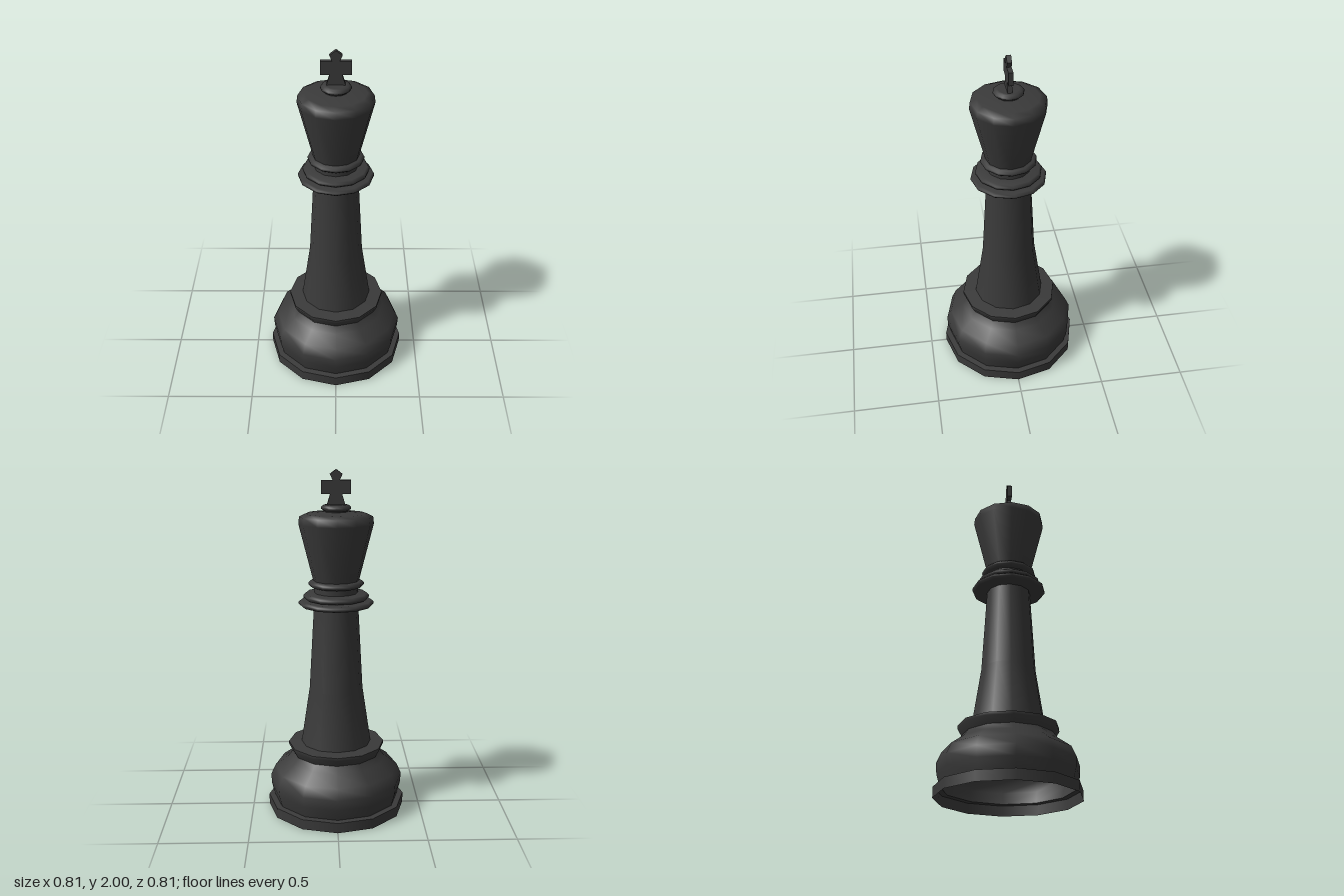
import * as THREE from 'three';
import { mergeGeometries } from 'three/addons/utils/BufferGeometryUtils.js';

const SIDES = 12;
const material = new THREE.MeshStandardMaterial({ color: 0x3a3a3a, side: THREE.DoubleSide });

// Turned part: each run of [radius, height] points is smooth, with a sharp edge between runs
function turned(name, ...runs) {
  const lathes = runs.map((run) =>
    new THREE.LatheGeometry(run.map(([r, y]) => new THREE.Vector2(r, y)), SIDES));
  const mesh = new THREE.Mesh(mergeGeometries(lathes), material);
  mesh.name = name;
  return mesh;
}

// Rounded ring that bulges from an inner radius to an outer one
function ring(name, inner, outer, bottom, top) {
  const h = top - bottom;
  const lip = outer - 0.012;
  return turned(name, [
    [inner, bottom], [lip, bottom + h * 0.08], [outer, bottom + h * 0.35],
    [outer, bottom + h * 0.65], [lip, top - h * 0.08], [inner, top],
  ]);
}

// Flat cross with tapered foot and pointed top
function cross() {
  const half = [
    [0.053, 1.8], [0.033, 1.865], [0.083, 1.865], [0.083, 1.94], [0.02, 1.94], [0.035, 1.973],
  ];
  const mirrored = half.map(([x, y]) => [-x, y]).reverse();
  const outline = [...half, [0, 2], ...mirrored].map(([x, y]) => new THREE.Vector2(x, y));
  const depth = 0.026;
  const geometry = new THREE.ExtrudeGeometry(new THREE.Shape(outline), { depth, bevelEnabled: false });
  geometry.translate(0, 0, -depth / 2);
  const mesh = new THREE.Mesh(geometry, material);
  mesh.name = 'cross';
  return mesh;
}

export function createModel() {
  const group = new THREE.Group();
  group.name = 'chessKing';
  group.add(
    // Hollow foot, open underneath
    turned('plinth', [[0.405, 0], [0.405, 0.06]], [[0.405, 0.06], [0.37, 0.062]]),
    turned('base',
      [[0.37, 0.062], [0.388, 0.13], [0.392, 0.19], [0.365, 0.25], [0.29, 0.305], [0.26, 0.345]],
      [[0.26, 0.345], [0.282, 0.385], [0.282, 0.402]],
      [[0.282, 0.402], [0.205, 0.407]]),
    turned('shaft', [[0.205, 0.407], [0.155, 0.74], [0.127, 1.235]]),
    // Collar rings and neck
    ring('lowerCollar', 0.125, 0.215, 1.23, 1.267),
    ring('middleCollar', 0.125, 0.188, 1.267, 1.308),
    turned('neck', [[0.125, 1.3], [0.125, 1.345]]),
    ring('upperCollar', 0.125, 0.158, 1.34, 1.38),
    // Flared head with rounded shoulder
    turned('head',
      [[0.13, 1.375], [0.212, 1.7], [0.207, 1.74], [0.17, 1.757], [0.06, 1.767], [0, 1.768]]),
    turned('finialNeck', [[0.066, 1.763], [0.066, 1.778]]),
    ring('finialRing', 0.06, 0.084, 1.77, 1.806),
    turned('finialCap', [[0.062, 1.805], [0, 1.807]]),
    cross(),
  );
  return group;
}
